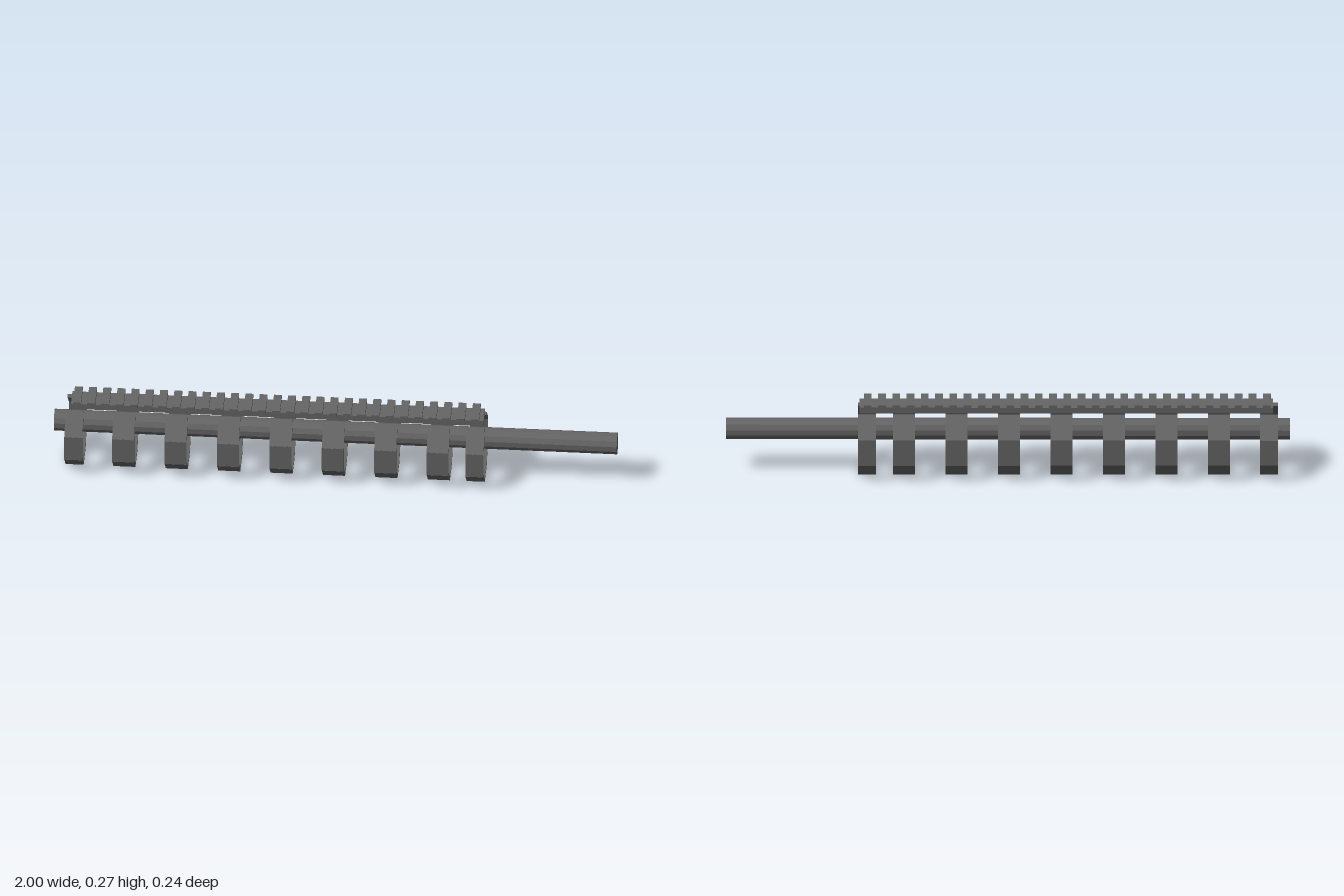
import * as THREE from 'three';

export function createModel() {
  const model = new THREE.Group();
  model.name = 'railedHandguard';
  const metal = new THREE.MeshStandardMaterial({ color: 0x666666, flatShading: true });
  metal.name = 'dark grey metal';

  function box(parent, name, w, h, d, x, y, z) {
    const mesh = new THREE.Mesh(new THREE.BoxGeometry(w, h, d), metal);
    mesh.name = name;
    mesh.position.set(x, y, z);
    parent.add(mesh);
    return mesh;
  }

  // Twelve-sided barrel with a flat side up
  const barrelGeometry = new THREE.CylinderGeometry(0.039, 0.039, 2, 12);
  barrelGeometry.rotateY(Math.PI / 12).rotateZ(Math.PI / 2);
  const barrel = new THREE.Mesh(barrelGeometry, metal);
  barrel.name = 'barrel';
  barrel.position.y = 0.157;
  model.add(barrel);

  // Octagonal bands, each of seven plates and open at the top
  const apothem = 0.118, thickness = 0.012, plateLength = 0.097;
  function addBand(x, width) {
    const band = new THREE.Group();
    band.name = 'band';
    band.position.set(x, apothem, 0);
    for (let i = 1; i < 8; i++) {
      const a = i * Math.PI / 4;
      const r = apothem - thickness / 2;
      const plate = box(band, 'bandPlate', width, thickness, plateLength, 0, r * Math.cos(a), r * Math.sin(a));
      plate.rotation.x = a;
    }
    model.add(band);
  }
  addBand(-0.925, 0.064);
  for (let i = 0; i < 7; i++) addBand(-0.748 + i * 0.1862, 0.078);
  addBand(0.5, 0.064);

  // Top rail with evenly spaced cross teeth
  const rail = new THREE.Group();
  rail.name = 'topRail';
  box(rail, 'railBase', 1.466, 0.022, 0.076, -0.206, 0.246, 0);
  const teeth = 29, first = -0.917, last = 0.497;
  for (let i = 0; i < teeth; i++) {
    const x = first + (last - first) * i / (teeth - 1);
    box(rail, 'railTooth', 0.028, 0.014, 0.098, x, 0.264, 0);
  }
  model.add(rail);

  return model;
}
